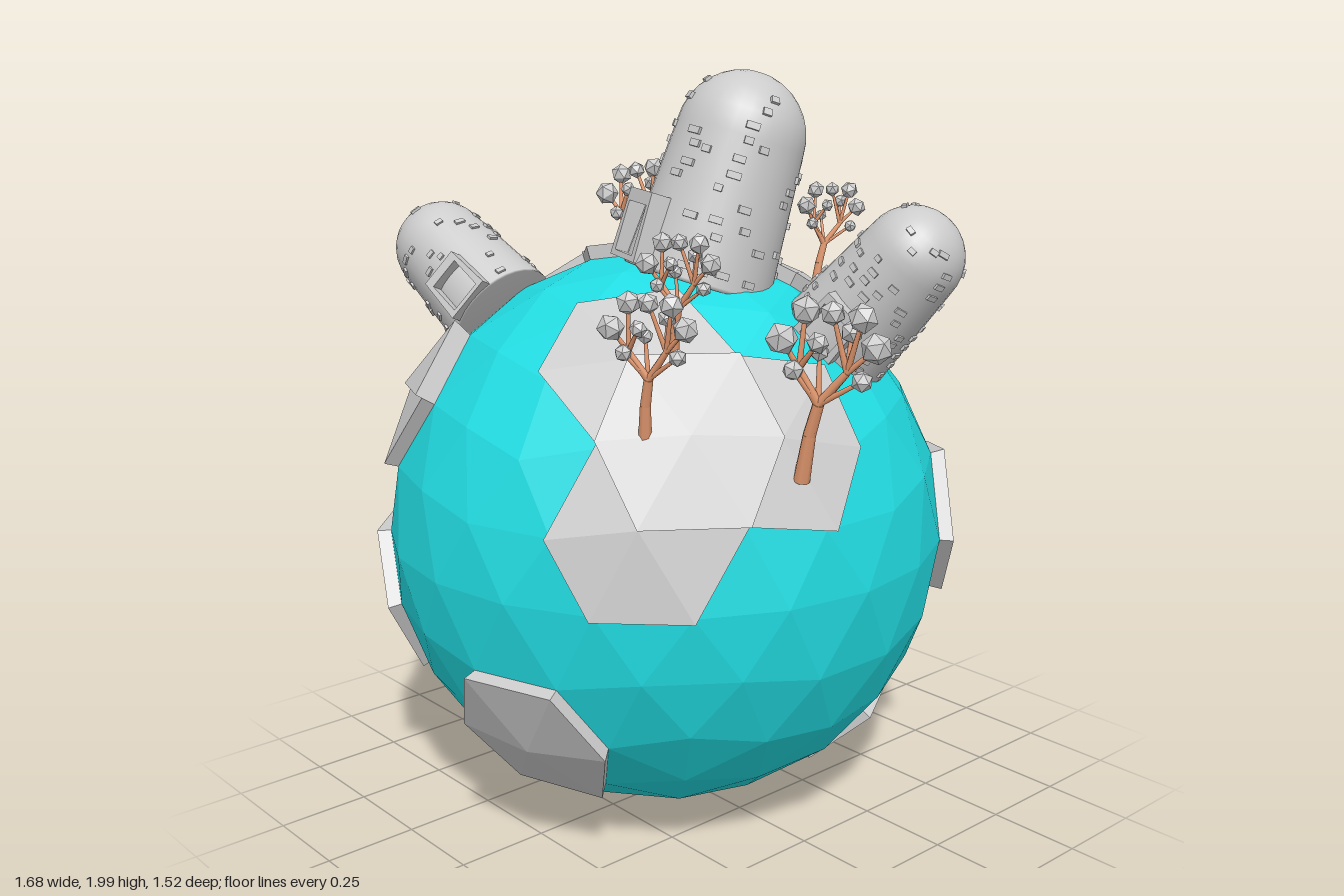
import * as THREE from 'three';
import { mergeGeometries } from 'three/addons/utils/BufferGeometryUtils.js';

const V = (x, y, z) => new THREE.Vector3(x, y, z);
const UP = V(0, 1, 0);
const CENTRE = V(-0.06, 0.763, 0);
const R = 0.76;

const stone = new THREE.MeshStandardMaterial({ color: 0xcccccc, flatShading: true });
const plaster = new THREE.MeshStandardMaterial({ color: 0xcccccc });
const water = new THREE.MeshStandardMaterial({ color: 0x22dde3, flatShading: true });
const bark = new THREE.MeshStandardMaterial({ color: 0xe59a70 });

function seeded(seed) {
  return () => (seed = (seed * 16807) % 2147483647) / 2147483647;
}

function named(geometry, material, name) {
  const mesh = new THREE.Mesh(geometry, material);
  mesh.name = name;
  return mesh;
}

function fromTriangles(points) {
  const g = new THREE.BufferGeometry().setFromPoints(points);
  g.computeVertexNormals();
  return g;
}

// Unit icosphere with poles up and down, as a list of triangles
function icosphereFaces(levels) {
  const ring = (y, start) => [...Array(5).keys()].map((i) => {
    const a = start + (i * Math.PI * 2) / 5;
    return V(Math.cos(a) * 0.8944, y, Math.sin(a) * 0.8944);
  });
  const top = ring(0.4472, 0), low = ring(-0.4472, Math.PI / 5);
  const north = V(0, 1, 0), south = V(0, -1, 0);
  let faces = [];
  for (let i = 0; i < 5; i++) {
    const j = (i + 1) % 5;
    faces.push([north, top[j], top[i]], [top[i], top[j], low[i]],
      [low[i], top[j], low[j]], [south, low[i], low[j]]);
  }
  const mid = (a, b) => a.clone().add(b).normalize();
  for (let n = 0; n < levels; n++) {
    faces = faces.flatMap(([a, b, c]) => {
      const ab = mid(a, b), bc = mid(b, c), ca = mid(c, a);
      return [[a, ab, ca], [ab, b, bc], [ca, bc, c], [ab, bc, ca]];
    });
  }
  return faces;
}

// Raised slab: the triangles round the lattice point nearest to a direction
function plate(faces, dir, lift, single) {
  const d = V(...dir).normalize();
  let fans;
  if (single) {
    const dist = (f) => f[0].clone().add(f[1]).add(f[2]).normalize().distanceTo(d);
    fans = [faces.reduce((best, f) => (dist(f) < dist(best) ? f : best))];
  } else {
    const hub = faces.flat().reduce((b, p) => (p.distanceTo(d) < b.distanceTo(d) ? p : b));
    fans = faces.filter((f) => f.some((p) => p.distanceTo(hub) < 1e-4)).map((f) => {
      const k = f.findIndex((p) => p.distanceTo(hub) < 1e-4);
      return [f[k], f[(k + 1) % 3], f[(k + 2) % 3]];
    });
  }
  const pts = [];
  const at = (p, s) => p.clone().multiplyScalar(R * s);
  for (const [c, a, b] of fans) {
    pts.push(at(c, lift), at(a, lift), at(b, lift));
    for (const [p, q] of single ? [[c, a], [a, b], [b, c]] : [[a, b]]) {
      pts.push(at(p, 0.98), at(q, 0.98), at(q, lift), at(p, 0.98), at(q, lift), at(p, lift));
    }
  }
  return fromTriangles(pts);
}

// Domed tower with a framed doorway on local +z and scattered bricks
function tower(name, base, dir, door, size, seed) {
  const rand = seeded(seed);
  const g = new THREE.Group();
  g.name = name;
  const wallTop = 0.385, r0 = 0.2, r1 = 0.172;
  const radiusAt = (y) => (y < wallTop ? r0 + (r1 - r0) * (y / wallTop)
    : Math.sqrt(Math.max(0, r1 * r1 - (y - wallTop) ** 2)));

  const profile = [[0, -0.01], [r0, -0.01], [r0, 0], [0.19, 0.13], [0.181, 0.26]].map((p) => new THREE.Vector2(...p));
  for (let i = 0; i <= 8; i++) {
    const a = (i / 8) * Math.PI / 2;
    profile.push(new THREE.Vector2(Math.cos(a) * r1, wallTop + Math.sin(a) * r1));
  }
  g.add(named(new THREE.LatheGeometry(profile, 32), plaster, 'towerWall'));

  // Doorway
  const frame = new THREE.Shape([[-0.085, 0], [-0.06, 0], [-0.06, 0.14], [0.06, 0.14], [0.06, 0],
    [0.085, 0], [0.075, 0.175], [-0.075, 0.175]].map((p) => new THREE.Vector2(...p)));
  const frameMesh = named(new THREE.ExtrudeGeometry(frame, { depth: 0.09, bevelEnabled: false }), stone, 'doorFrame');
  frameMesh.position.set(0, 0.005, 0.135);
  const sill = named(new THREE.BoxGeometry(0.17, 0.015, 0.09), stone, 'doorSill');
  sill.position.set(0, 0.005, 0.18);
  g.add(frameMesh, sill);

  // Bricks
  const bricks = [];
  for (let y = 0.03; y < 0.5; y += 0.042) {
    for (let i = 0; i < 18; i++) {
      const a = ((i + rand() * 0.7) / 18) * Math.PI * 2;
      const keep = rand() < (y > wallTop ? 0.22 : 0.42);
      const nearDoor = y < 0.2 && Math.cos(a) > 0.82;
      if (!keep || nearDoor) continue;
      const h = y + (rand() - 0.5) * 0.015;
      const tilt = h < wallTop ? -0.07 : -Math.asin((h - wallTop) / r1);
      const brick = new THREE.BoxGeometry(0.022 + rand() * 0.016, 0.018, 0.014);
      brick.rotateX(tilt).translate(0, h, radiusAt(h)).rotateY(a);
      bricks.push(brick);
    }
  }
  g.add(named(mergeGeometries(bricks), stone, 'bricks'));

  const y = V(...dir).normalize();
  const z = V(...door).addScaledVector(y, -V(...door).dot(y)).normalize();
  g.quaternion.setFromRotationMatrix(new THREE.Matrix4().makeBasis(y.clone().cross(z), y, z));
  g.position.set(...base);
  g.scale.setScalar(size);
  return g;
}

// Forked tree with a faceted leaf ball at the end of every twig
const LEAVES = [[-0.085, 0.32, 0.02, 0.04], [-0.045, 0.385, -0.015, 0.036], [-0.05, 0.25, 0.02, 0.026],
  [0.0, 0.33, 0.03, 0.026], [0.02, 0.395, 0, 0.03], [0.065, 0.35, -0.025, 0.028], [0.09, 0.4, 0.01, 0.036],
  [0.13, 0.335, 0.01, 0.038], [0.11, 0.255, 0.02, 0.026], [-0.005, 0.285, -0.035, 0.024]];

function limb(a, b, ra, rb) {
  const along = b.clone().sub(a);
  const c = new THREE.CylinderGeometry(rb, ra, along.length(), 7);
  c.applyQuaternion(new THREE.Quaternion().setFromUnitVectors(UP, along.clone().normalize()));
  const m = a.clone().add(b).multiplyScalar(0.5);
  return c.translate(m.x, m.y, m.z);
}

function tree(base, size, turn) {
  const g = new THREE.Group();
  g.name = 'tree';
  const bend = V(0.004, 0.09, 0), fork = V(0.015, 0.17, 0);
  const forks = [V(-0.04, 0.25, 0.005), V(0.07, 0.26, 0)];
  const wood = [limb(V(0, -0.03, 0), bend, 0.021, 0.016), limb(bend, fork, 0.016, 0.014),
    ...forks.map((f) => limb(fork, f, 0.012, 0.009))];
  const balls = LEAVES.map(([x, y, z, r], i) => {
    const tip = V(x, y, z);
    wood.push(limb(y < 0.29 ? fork : forks[x < 0.01 ? 0 : 1], tip, 0.008, 0.005));
    return new THREE.IcosahedronGeometry(r, 0).rotateX(i).rotateY(i * 2).translate(x, y, z);
  });
  g.add(named(mergeGeometries(wood), bark, 'trunk'), named(mergeGeometries(balls), stone, 'leaves'));
  g.position.set(...base);
  const lean = g.position.clone().sub(CENTRE).normalize().multiplyScalar(0.25).add(UP).normalize();
  g.quaternion.setFromUnitVectors(UP, lean)
    .multiply(new THREE.Quaternion().setFromAxisAngle(UP, turn));
  g.scale.setScalar(size);
  return g;
}

export function createModel() {
  const model = new THREE.Group();
  model.name = 'tinyPlanet';

  const faces = icosphereFaces(2);
  const globe = named(fromTriangles(faces.flat().map((p) => p.clone().multiplyScalar(R))), water, 'globe');
  globe.position.copy(CENTRE);
  model.add(globe);

  // Land plates: direction, lift, single triangle
  const plates = [
    // upper back
    [[-0.724, 0.447, -0.526], 1.05], [[-0.671, 0.724, -0.162], 1.055], [[-0.221, 0.962, -0.161], 1.05],
    [[0.162, 0.851, -0.5], 1.05], [[-0.362, 0.724, -0.588], 1.05], [[-0.425, 0.851, -0.309], 1.062],
    [[-0.261, 0.903, -0.299], 1.07, true],
    // upper front
    [[0.447, 0.724, 0.526], 1.055], [[0.822, 0.506, 0.26], 1.06], [[0.683, 0.25, 0.683], 1.05],
    [[0.688, 0.526, 0.5], 1.075], [[-0.513, 0.506, 0.694], 1.05], [[-0.38, 0.585, 0.697], 1.075, true],
    // scattered lower
    [[0.263, -0.526, 0.809], 1.05], [[-0.683, -0.25, 0.683], 1.05], [[0.588, 0, -0.809], 1.05],
    [[0.362, -0.724, -0.588], 1.05], [[-0.688, -0.526, -0.5], 1.05],
  ];
  for (const [dir, lift, single] of plates) {
    const land = named(plate(faces, dir, lift, single), stone, 'landPlate');
    land.position.copy(CENTRE);
    model.add(land);
  }

  model.add(
    tower('mainTower', [0.05, 1.46, -0.02], [0.12, 1, -0.3], [-0.35, 0, 1], 1, 11),
    tower('rightTower', [-0.42, 1.34, 0.28], [-0.85, 0.53, 0.08], [0.2, 0.5, 1], 0.77, 23),
    tower('leftTower', [0.37, 1.32, -0.225], [0.62, 0.75, -0.22], [0.3, 0, 1], 0.77, 37),
  );

  // Trees: base, size, turn
  const trees = [
    [[0.65, 1.1, 0.19], 1, 0.55], [[0.42, 1.19, 0.48], 0.82, 0.5], [[0.35, 1.34, 0.33], 0.72, 0.5],
    [[-0.25, 1.49, -0.26], 0.76, 0.8], [[-0.56, 1.34, -0.31], 0.88, 0.45],
    [[-0.38, 1.3, -0.52], 0.88, 0.4], [[0.06, 1.4, -0.46], 0.68, 1.0],
  ];
  for (const t of trees) model.add(tree(...t));
  return model;
}
